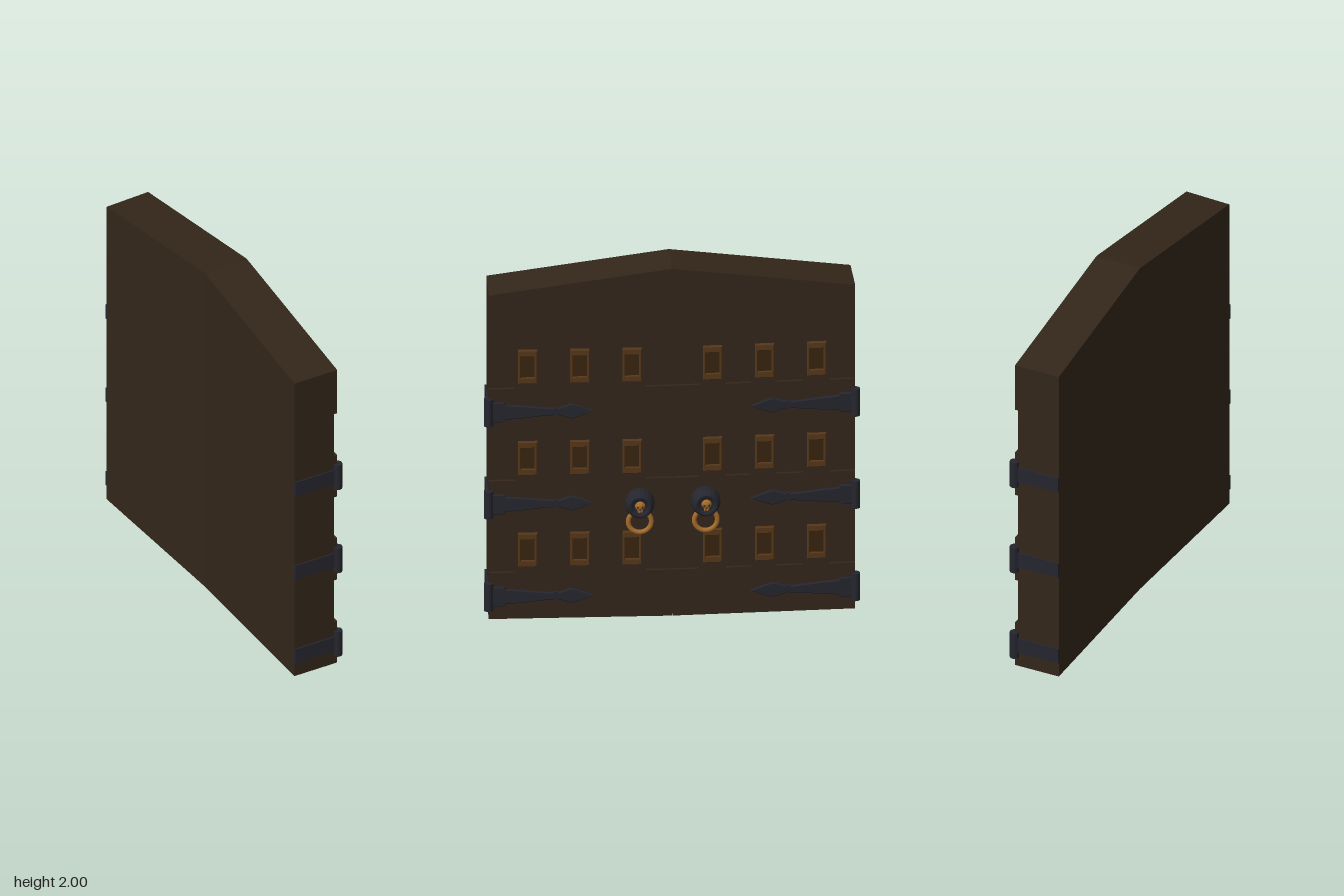
import * as THREE from 'three';

const mat = (color, extra = {}) => {
  const m = new THREE.MeshStandardMaterial(extra);
  m.color.setHex(color);
  return m;
};
const wood = mat(0x33261a, { flatShading: true });
const bronze = mat(0x553619, { flatShading: true });
const darkBronze = mat(0x38240f, { flatShading: true });
const iron = mat(0x25252e, { flatShading: true });
const smoothIron = mat(0x25252e);
const brass = mat(0xa56c2c);

const W = 0.965, FRONT = 0.088, BACK = -0.17, RECESS = 0.018;
const rows = [0.265, 0.795, 1.325], rowHeight = 0.265;
const plateRows = [0.4, 0.928, 1.455], plateColumns = [0.21, 0.485, 0.76];
const hingeRows = [0.13, 0.663, 1.194];

const poly = (pts, s = 1, Type = THREE.Shape) =>
  new Type(pts.map(([x, y]) => new THREE.Vector2(x * s, y)));
const rect = (x0, y0, x1, y1) => [[x0, y0], [x1, y0], [x1, y1], [x0, y1]];
const extrude = (shape, depth, bevel = 0) => new THREE.ExtrudeGeometry(shape, {
  depth, bevelEnabled: bevel > 0, bevelSize: bevel, bevelThickness: bevel,
  bevelOffset: -bevel, bevelSegments: 1, curveSegments: 12,
});

function add(parent, name, geometry, material, x = 0, y = 0, z = 0) {
  const mesh = new THREE.Mesh(geometry, material);
  mesh.name = name;
  mesh.position.set(x, y, z);
  parent.add(mesh);
  return mesh;
}

// Wooden leaf: thick core plus a front layer cut by shallow recesses
function addBoards(leaf, s) {
  const core = poly([[0, 0], [W, 0], [W, 1.866], [0, 2]], s);
  add(leaf, 'doorCore', extrude(core, FRONT - RECESS - BACK), wood, 0, 0, BACK);

  const outline = [[0, 0], [W, 0]];
  for (const y of rows) {
    outline.push([W, y], [0.83, y], [0.83, y + rowHeight], [W, y + rowHeight]);
  }
  outline.push([W, 1.866], [0, 2]);
  for (const y of [...rows].reverse()) {
    outline.push([0, y + rowHeight], [0.14, y + rowHeight], [0.14, y], [0, y]);
  }
  const face = poly(outline, s);
  for (const y of rows) {
    for (const [a, b] of [[0.28, 0.415], [0.55, 0.69]]) {
      face.holes.push(poly(rect(a, y, b, y + rowHeight), s, THREE.Path));
    }
  }
  add(leaf, 'doorFace', extrude(face, RECESS), wood, 0, 0, FRONT - RECESS);
}

// Framed rectangular plates in a three by three grid
function addPlates(leaf, s) {
  const frame = poly(rect(-0.051, -0.096, 0.051, 0.096));
  frame.holes.push(poly(rect(-0.036, -0.06, 0.036, 0.06), 1, THREE.Path));
  const frameGeo = extrude(frame, 0.014, 0.004);
  const panelGeo = extrude(poly(rect(-0.042, -0.066, 0.042, 0.066)), 0.012);
  for (const y of plateRows) {
    for (const u of plateColumns) {
      add(leaf, 'plateFrame', frameGeo, bronze, s * u, y, FRONT);
      add(leaf, 'platePanel', panelGeo, darkBronze, s * u, y, FRONT - 0.004);
    }
  }
}

// Strap hinges: spear-shaped strap, knuckle and band round the door edge
function addHinges(leaf, s) {
  const upper = [
    [0.95, 0.056], [0.885, 0.056], [0.875, 0.042], [0.8, 0.037], [0.7, 0.026],
    [0.625, 0.02], [0.595, 0.021], [0.53, 0.043], [0.485, 0.03],
  ];
  const lower = upper.map(([x, y]) => [x, -y]).reverse();
  const strapGeo = extrude(poly([...upper, [0.41, 0], ...lower], s), 0.008, 0.005);
  for (const y of hingeRows) {
    const hinge = new THREE.Group();
    hinge.name = 'hinge';
    hinge.position.y = y;
    leaf.add(hinge);
    add(hinge, 'strap', strapGeo, iron, 0, 0, FRONT);
    add(hinge, 'strapCollar', new THREE.BoxGeometry(0.022, 0.05, 0.016), iron, s * 0.61, 0, FRONT + 0.006);
    add(hinge, 'knuckle', new THREE.CylinderGeometry(0.025, 0.025, 0.155, 12), iron, s * 0.966, 0, FRONT + 0.002);
    add(hinge, 'edgeBand', new THREE.BoxGeometry(0.014, 0.088, FRONT - BACK + 0.002), iron,
      s * (W + 0.002), 0, (FRONT + BACK) / 2);
  }
}

// Knocker: iron boss, skull-like brass mask and hanging ring
function addKnocker(leaf, s) {
  const knocker = new THREE.Group();
  knocker.name = 'knocker';
  knocker.position.set(s * 0.171, 0.665, FRONT - 0.004);
  leaf.add(knocker);

  const profile = [[0.001, 0], [0.076, 0], [0.079, 0.015], [0.077, 0.05], [0.066, 0.08],
    [0.056, 0.091], [0.044, 0.088], [0.036, 0.08], [0.001, 0.08]];
  const boss = new THREE.LatheGeometry(profile.map((p) => new THREE.Vector2(...p)), 20);
  boss.rotateX(Math.PI / 2);
  add(knocker, 'boss', boss, iron);

  const skull = add(knocker, 'maskHead', new THREE.SphereGeometry(1, 16, 12), brass, 0, 0.006, 0.083);
  skull.scale.set(0.027, 0.025, 0.018);
  add(knocker, 'maskJaw', extrude(poly([[-0.017, 0], [-0.012, -0.026], [0.012, -0.026], [0.017, 0]]), 0.012, 0.003),
    brass, 0, -0.006, 0.078);
  for (const side of [-1, 1]) {
    const eye = add(knocker, 'maskEye', new THREE.SphereGeometry(1, 10, 8), smoothIron, side * 0.011, 0.004, 0.096);
    eye.scale.set(0.007, 0.006, 0.005);
  }
  const nose = add(knocker, 'maskNose', new THREE.ConeGeometry(0.005, 0.01, 3), smoothIron, 0, -0.009, 0.098);
  nose.scale.z = 0.6;
  for (const x of [-0.008, 0, 0.008]) {
    add(knocker, 'maskTooth', new THREE.BoxGeometry(0.002, 0.01, 0.004), smoothIron, x, -0.025, 0.095);
  }
  add(knocker, 'ring', new THREE.TorusGeometry(0.061, 0.013, 10, 32), brass, 0, -0.101, 0.042);
}

export function createModel() {
  const model = new THREE.Group();
  model.name = 'doubleDoor';
  // Each leaf is turned slightly about the meeting line; the pair faces +x
  for (const s of [1, -1]) {
    const leaf = new THREE.Group();
    leaf.name = s > 0 ? 'rightLeaf' : 'leftLeaf';
    addBoards(leaf, s);
    addPlates(leaf, s);
    addHinges(leaf, s);
    addKnocker(leaf, s);
    leaf.rotation.y = Math.PI / 2 + s * 0.025;
    model.add(leaf);
  }
  return model;
}
